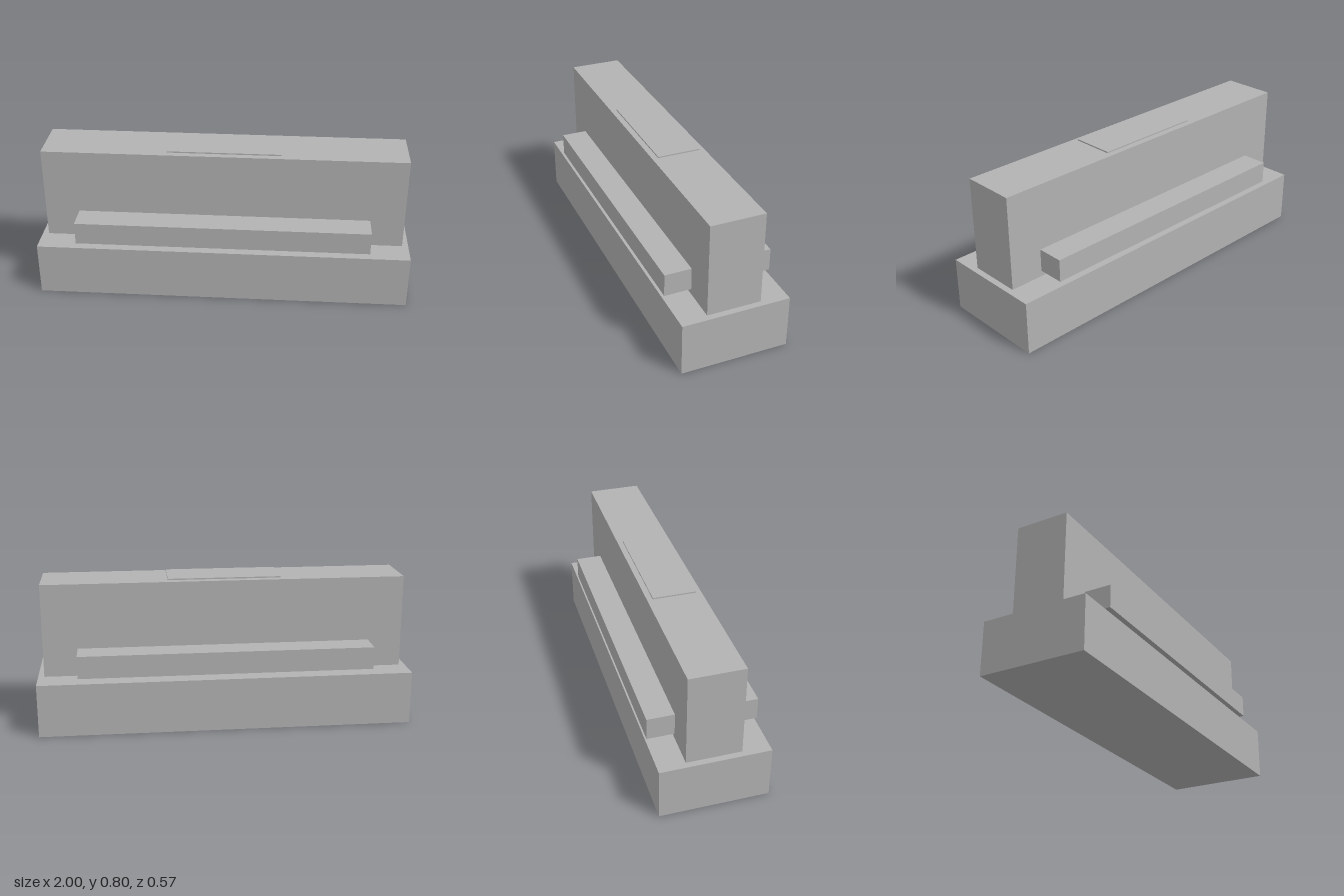
import * as THREE from 'three';

export function createModel() {
  const model = new THREE.Group();
  const grey = new THREE.MeshStandardMaterial({ color: 0xb2b2b2 });
  grey.name = 'grey';

  // Centred block spanning the heights bottom to top
  function block(name, width, depth, bottom, top) {
    const mesh = new THREE.Mesh(new THREE.BoxGeometry(width, top - bottom, depth), grey);
    mesh.name = name;
    mesh.position.y = (bottom + top) / 2;
    model.add(mesh);
  }

  block('base', 2, 0.572, 0, 0.286);
  block('upperWall', 1.934, 0.286, 0.286, 0.787);
  // Ledge passes through the wall and projects on both sides
  block('sideLedges', 1.57, 0.572, 0.316, 0.437);
  // Thin plate just above the wall
  block('topPlate', 0.6, 0.228, 0.79, 0.797);

  return model;
}
